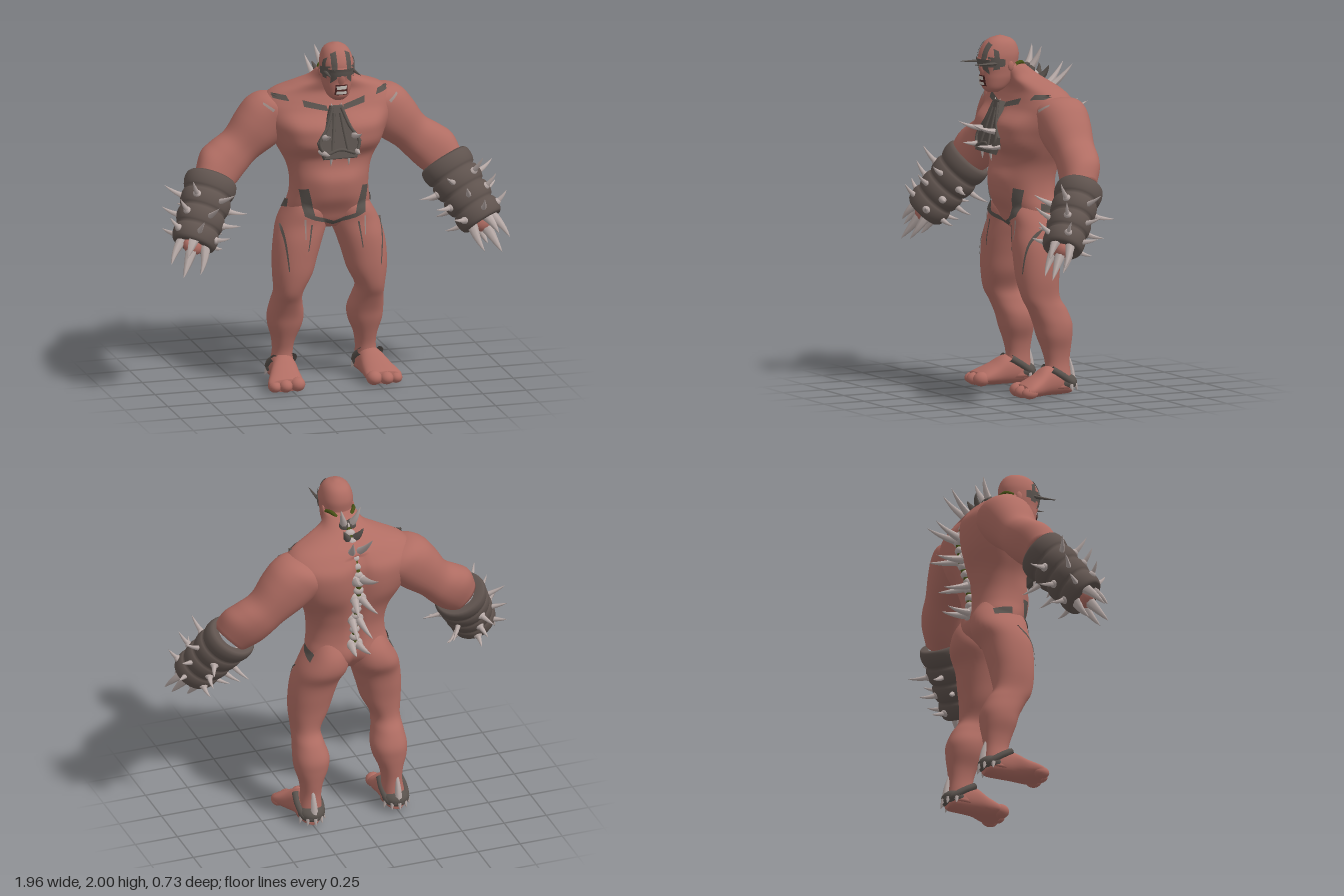
import * as THREE from 'three';

const V = (x, y, z) => new THREE.Vector3(x, y, z);
const X = V(1, 0, 0), Y = V(0, 1, 0), Z = V(0, 0, 1);

function material(name, color, side = THREE.FrontSide) {
  const m = new THREE.MeshStandardMaterial({ color, side });
  m.name = name;
  return m;
}

// Smooth skin over rows of [x, y, z, radiusU, radiusV]; rule() may reshape each point.
function loft(rows, u, v, { power = 0.9, steps = 5, n = 36, rule } = {}) {
  const centres = new THREE.CatmullRomCurve3(rows.map(r => V(r[0], r[1], r[2])), false, 'catmullrom');
  const radii = new THREE.CatmullRomCurve3(rows.map(r => V(r[3], r[4], 0)), false, 'catmullrom');
  const m = (rows.length - 1) * steps, pos = [], idx = [];
  const bend = a => Math.sign(a) * Math.abs(a) ** power;
  for (let i = 0; i <= m; i++) {
    const c = centres.getPoint(i / m), r = radii.getPoint(i / m);
    for (let j = 0; j < n; j++) {
      const a = j / n * Math.PI * 2;
      const p = c.clone().addScaledVector(u, r.x * bend(Math.cos(a))).addScaledVector(v, r.y * bend(Math.sin(a)));
      if (rule) rule(p);
      pos.push(p.x, p.y, p.z);
    }
  }
  const first = centres.getPoint(0), last = centres.getPoint(1);
  pos.push(...first.toArray(), ...last.toArray());
  const flip = u.clone().cross(v).dot(last.clone().sub(first)) < 0;
  const tri = (a, b, c) => flip ? idx.push(a, c, b) : idx.push(a, b, c);
  const end = (m + 1) * n;
  for (let j = 0; j < n; j++) {
    const k = (j + 1) % n;
    for (let i = 0; i < m; i++) {
      tri(i * n + j, i * n + k, (i + 1) * n + j);
      tri(i * n + k, (i + 1) * n + k, (i + 1) * n + j);
    }
    tri(end, k, j);
    tri(end + 1, m * n + j, m * n + k);
  }
  const g = new THREE.BufferGeometry();
  g.setAttribute('position', new THREE.Float32BufferAttribute(pos, 3));
  g.setIndex(idx);
  g.computeVertexNormals();
  return g;
}

// Curved spike: a tube whose rings shrink to a point.
function horn(base, tip, radius, sag = V(0, 0, 0), sides = 7) {
  const mid = base.clone().lerp(tip, 0.5).add(sag), segs = 7;
  const curve = new THREE.QuadraticBezierCurve3(base, mid, tip);
  const g = new THREE.TubeGeometry(curve, segs, radius, sides), p = g.attributes.position, q = V(0, 0, 0);
  for (let i = 0; i < p.count; i++) {
    const t = Math.floor(i / (sides + 1)) / segs, c = curve.getPointAt(t);
    q.fromBufferAttribute(p, i).sub(c).multiplyScalar((1 - t) ** 0.75).add(c);
    p.setXYZ(i, q.x, q.y, q.z);
  }
  g.computeVertexNormals();
  return g;
}

const ball = (x, y, z, a, b, c) => new THREE.SphereGeometry(1, 18, 12).scale(a, b, c).translate(x, y, z);
const tube = (pts, r) => new THREE.TubeGeometry(new THREE.CatmullRomCurve3(pts.map(p => V(...p))), 24, r, 8);

function mirrored(geo) {
  const g = geo.clone().scale(-1, 1, 1);
  const src = g.index ? Array.from(g.index.array) : Array.from({ length: g.attributes.position.count }, (_, i) => i);
  for (let i = 0; i < src.length; i += 3) [src[i + 1], src[i + 2]] = [src[i + 2], src[i + 1]];
  g.setIndex(src);
  return g;
}

export function createModel() {
  const root = new THREE.Group();
  root.name = 'bruteFigure';
  const skin = material('skin', 0xb06d63), leather = material('brown leather', 0x5f534e);
  const iron = material('dark iron', 0x59524d, THREE.DoubleSide), bone = material('bone', 0xb8aba8);
  const green = material('green tube', 0x465015), maw = material('dark mouth', 0x4a2422, THREE.DoubleSide);
  const teeth = material('teeth', 0xc9c2bb, THREE.DoubleSide), scar = material('pale scar', 0x9c8a85, THREE.DoubleSide);
  const add = (name, geo, mat) => {
    const mesh = new THREE.Mesh(geo, mat);
    mesh.name = name;
    root.add(mesh);
    return mesh;
  };
  const pair = (name, geo, mat) => {
    add(name + 'Right', mirrored(geo), mat);
    return add(name + 'Left', geo, mat);
  };

  // Torso: rows of [y, half width, front z, back z]
  const bump = (p, x, y, rx, ry, amp) =>
    amp * Math.exp(-(((Math.abs(p.x) - x) / rx) ** 4) - (((p.y - y) / ry) ** 4));
  const torsoRule = p => {
    if (p.z > 0) {
      p.z += bump(p, 0.15, 1.465, 0.14, 0.105, 0.058) + bump(p, 0, 1.15, 0.13, 0.1, 0.018);
    } else {
      p.z -= bump(p, 0.19, 1.5, 0.13, 0.14, 0.025);
      if (p.y < 1.68) p.z += 0.025 * Math.exp(-((p.x / 0.03) ** 2));
    }
  };
  const torso = add('torso', loft([
    [0.91, 0.08, 0.07, -0.07], [0.95, 0.18, 0.11, -0.11], [1.0, 0.23, 0.13, -0.145], [1.05, 0.235, 0.15, -0.155],
    [1.12, 0.222, 0.17, -0.145], [1.2, 0.222, 0.18, -0.145], [1.28, 0.24, 0.17, -0.16], [1.36, 0.28, 0.168, -0.18],
    [1.45, 0.325, 0.168, -0.2], [1.52, 0.36, 0.165, -0.21], [1.6, 0.38, 0.145, -0.212], [1.65, 0.365, 0.125, -0.195],
    [1.7, 0.31, 0.11, -0.16], [1.74, 0.215, 0.12, -0.11], [1.78, 0.125, 0.14, -0.055], [1.84, 0.085, 0.18, 0.02],
  ].map(([y, w, f, b]) => [0, y, (f + b) / 2, w, (f - b) / 2]), X, Z, { power: 0.84, n: 72, rule: torsoRule }), skin);

  // Legs and feet
  const leg = pair('leg', loft([
    [0.11, 1.12, -0.02, 0.08, 0.1], [0.125, 1.03, -0.015, 0.112, 0.155], [0.148, 0.94, -0.015, 0.138, 0.158],
    [0.178, 0.85, 0.014, 0.135, 0.14], [0.2, 0.75, 0.025, 0.125, 0.13], [0.215, 0.65, 0.03, 0.11, 0.12],
    [0.235, 0.55, 0.02, 0.08, 0.11], [0.235, 0.48, -0.02, 0.085, 0.112], [0.23, 0.4, -0.055, 0.1, 0.11],
    [0.232, 0.33, -0.065, 0.094, 0.1], [0.237, 0.25, -0.075, 0.066, 0.082], [0.24, 0.18, -0.08, 0.056, 0.07],
    [0.245, 0.11, -0.08, 0.062, 0.075], [0.25, 0.04, -0.085, 0.07, 0.08],
  ], X, Z), skin);
  pair('foot', loft([
    [0.25, 0.04, -0.16, 0.03, 0.03], [0.25, 0.055, -0.13, 0.06, 0.05], [0.25, 0.08, -0.08, 0.068, 0.078],
    [0.255, 0.082, 0, 0.074, 0.08], [0.27, 0.06, 0.07, 0.09, 0.06], [0.282, 0.046, 0.13, 0.102, 0.044],
    [0.285, 0.038, 0.165, 0.096, 0.034],
  ], X, Y), skin);
  [[0.222, 0.04, 0.155], [0.292, 0.036, 0.16], [0.35, 0.033, 0.145]]
    .forEach(([x, r, z]) => pair('toe', ball(x, r, z, r * 1.1, r, 0.048), skin));

  // Arms
  pair('arm', loft([
    [0.15, 1.6, -0.05, 0.07, 0.1], [0.25, 1.585, -0.058, 0.135, 0.145], [0.33, 1.545, -0.062, 0.15, 0.146],
    [0.405, 1.475, -0.06, 0.14, 0.136], [0.49, 1.39, -0.058, 0.116, 0.116], [0.565, 1.33, -0.045, 0.126, 0.115],
    [0.63, 1.275, -0.022, 0.132, 0.112], [0.69, 1.2, 0.015, 0.105, 0.1],
  ], V(0.707, 0.707, 0), Z), skin);

  // Head, nose, brow and ears
  const head = add('head', loft([
    [0, 1.685, 0.2, 0.032, 0.032], [0, 1.71, 0.192, 0.06, 0.064], [0, 1.76, 0.175, 0.078, 0.09],
    [0, 1.8, 0.166, 0.084, 0.102], [0, 1.85, 0.166, 0.09, 0.112], [0, 1.9, 0.162, 0.091, 0.114],
    [0, 1.95, 0.157, 0.077, 0.095], [0, 1.98, 0.155, 0.053, 0.065], [0, 1.998, 0.155, 0.012, 0.014],
  ], X, Z), skin);
  add('nose', horn(V(0, 1.8, 0.245), V(0, 1.875, 0.27), 0.03, V(0, 0, 0.02), 10), skin);
  const brow = add('brow', ball(0, 1.872, 0.235, 0.078, 0.02, 0.048), skin);
  pair('ear', ball(0.086, 1.835, 0.13, 0.01, 0.028, 0.018), skin);

  // Thin plates that follow the surface under them; corners lie in the plane facing the direction
  const ray = new THREE.Raycaster();
  const patch = (targets, corners, dir, nu = 6, nv = 6, lift = 0.007) => {
    const g = new THREE.PlaneGeometry(1, 1, nu, nv), p = g.attributes.position, uv = g.attributes.uv;
    let depth = 0.2;
    for (let i = 0; i < p.count; i++) {
      const s = uv.getX(i), t = uv.getY(i), [a, b, c, d] = corners;
      const at = k => (a[k] * (1 - s) + b[k] * s) * (1 - t) + (d[k] * (1 - s) + c[k] * s) * t;
      const q = dir.x ? V(0, at(1), at(0)) : V(at(0), at(1), 0);
      ray.set(q.clone().add(dir), dir.clone().negate());
      const hit = ray.intersectObjects(targets, false)[0];
      if (hit) depth = hit.point.dot(dir);
      q.addScaledVector(dir, depth + lift);
      p.setXYZ(i, q.x, q.y, q.z);
    }
    g.computeVertexNormals();
    return g;
  };
  root.updateMatrixWorld(true);

  // Face mask and mouth
  add('maskBand', patch([head, brow], [[-0.086, 1.832], [0.086, 1.832], [0.086, 1.874], [-0.086, 1.874]], Z, 16, 4), iron);
  pair('maskStrip', patch([head, brow], [[0.028, 1.82], [0.06, 1.79], [0.056, 1.955], [0.026, 1.97]], Z, 4, 14), iron);
  pair('maskSide', patch([head], [[0.26, 1.83], [0.17, 1.835], [0.17, 1.875], [0.26, 1.89]], X), iron);
  pair('maskCheek', patch([head], [[0.235, 1.815], [0.2, 1.82], [0.205, 1.92], [0.23, 1.935]], X), iron);
  pair('maskSpike', horn(V(0.078, 1.853, 0.2), V(0.086, 1.855, 0.365), 0.012, V(0, -0.006, 0)), iron);
  add('mouth', patch([head], [[-0.038, 1.722], [0.038, 1.722], [0.034, 1.782], [-0.034, 1.782]], Z), maw);
  add('upperTeeth', patch([head], [[-0.028, 1.756], [0.028, 1.756], [0.03, 1.777], [-0.03, 1.777]], Z, 6, 2, 0.012), teeth);
  add('lowerTeeth', patch([head], [[-0.032, 1.728], [0.032, 1.728], [0.028, 1.745], [-0.028, 1.745]], Z, 6, 2, 0.012), teeth);

  // Chest plate with raised ribs and spikes
  const shape = new THREE.Shape([[-0.03, 0.24], [-0.065, 0.14], [-0.122, 0.04], [-0.09, -0.05], [0.09, -0.05],
    [0.122, 0.04], [0.065, 0.14], [0.03, 0.24]].map(p => new THREE.Vector2(...p)));
  const place = g => g.rotateX(-0.3).translate(0, 1.395, 0.212);
  add('chestPlate', place(new THREE.ExtrudeGeometry(shape, { depth: 0.03, bevelSize: 0.005, bevelThickness: 0.006, bevelSegments: 2 })), iron);
  const rib = pts => place(tube(pts.map(([x, y]) => [x, y, 0.036]), 0.009));
  pair('plateRim', rib([[0.026, 0.23], [0.062, 0.13], [0.113, 0.035], [0.085, -0.04]]), iron);
  pair('plateRib', rib([[0.018, 0.2], [0.03, 0.1], [0.045, -0.01]]), iron);
  add('plateBar', rib([[-0.085, -0.03], [0, -0.005], [0.085, -0.03]]), iron);
  pair('plateUpperSpike', horn(V(0.085, 1.47, 0.2), V(0.09, 1.52, 0.368), 0.02, V(0, -0.02, 0.01)), bone);
  pair('plateLowerSpike', horn(V(0.1, 1.39, 0.21), V(0.085, 1.4, 0.345), 0.02, V(0, -0.015, 0)), bone);
  pair('plateFang', horn(V(0.05, 1.37, 0.24), V(0.052, 1.305, 0.235), 0.013), bone);
  pair('plateTopPin', horn(V(0.018, 1.6, 0.175), V(0.03, 1.65, 0.165), 0.01), bone);

  // Straps, belt and scars
  const targets = [torso, leg, root.getObjectByName('armLeft')];
  const mark = (name, corners, dir, mat, nu, nv) => pair(name, patch(targets, corners, dir, nu, nv), mat);
  mark('chestStrap', [[0.04, 1.6], [0.175, 1.63], [0.18, 1.665], [0.05, 1.63]], Z, iron, 10, 4);
  mark('hipStrap', [[0.11, 0.97], [0.175, 1.0], [0.2, 1.15], [0.155, 1.16]], Z, iron, 6, 12);
  mark('beltFront', [[0, 0.93], [0.13, 0.98], [0.13, 1.005], [0, 0.955]], Z, iron, 12, 3);
  pair('hipPlate', patch([torso, leg], [[0.02, 1.03], [-0.09, 1.005], [-0.09, 1.05], [0.02, 1.075]], X), iron);
  mark('thighScar', [[0.262, 0.69], [0.268, 0.69], [0.295, 0.94], [0.283, 0.94]], Z, iron, 2, 14);
  mark('innerThighScar', [[0.155, 0.8], [0.16, 0.8], [0.14, 0.95], [0.13, 0.95]], Z, iron, 2, 10);
  mark('groinScar', [[0.17, 0.87], [0.175, 0.87], [0.178, 0.98], [0.168, 0.98]], Z, scar, 2, 8);
  mark('shoulderStrap', [[0.25, 1.66], [0.33, 1.67], [0.335, 1.695], [0.265, 1.69]], Z, iron);
  mark('shoulderScar', [[0.34, 1.6], [0.39, 1.64], [0.385, 1.65], [0.33, 1.615]], Z, scar);

  // Spine: paired spikes, knobs and neck tubes
  const spine = [[1.8, -0.02, 1.93, -0.075], [1.68, -0.13, 1.82, -0.27], [1.54, -0.19, 1.605, -0.365],
    [1.42, -0.18, 1.395, -0.36], [1.27, -0.135, 1.215, -0.31], [1.1, -0.125, 1.105, -0.285]];
  spine.forEach(([y, z, ty, tz], i) => {
    pair('spineSpike', horn(V(0.018, y, z), V(0.058 - (i > 3 ? 0.015 : 0), ty, tz), 0.025, V(0, -0.018, -0.01)), bone);
    pair('spikeSocket', ball(0.02, y, z - 0.006, 0.03, 0.035, 0.026), i < 2 ? iron : bone);
  });
  const spineLine = new THREE.CatmullRomCurve3(spine.map(([y, z]) => V(0, y, z - 0.008)));
  spineLine.getSpacedPoints(16).forEach(p => add('vertebra', ball(p.x, p.y, p.z, 0.03, 0.024, 0.022), bone));
  add('spineTube', new THREE.TubeGeometry(spineLine, 40, 0.016, 8), green);
  pair('neckTube', tube([[0.08, 1.84, 0.1], [0.065, 1.85, 0.055], [0.035, 1.82, 0.02], [0.015, 1.78, -0.04]], 0.011), green);
  pair('neckFin', horn(V(0.02, 1.74, -0.08), V(0.06, 1.82, -0.12), 0.026, V(0, 0, -0.02)), iron);

  // Ankle cuffs with heel cups and spikes
  pair('ankleCuff', tube([[0.306, 0.15, -0.015], [0.314, 0.11, -0.08], [0.298, 0.065, -0.145], [0.25, 0.055, -0.17],
    [0.202, 0.065, -0.145], [0.186, 0.11, -0.08], [0.194, 0.15, -0.015]], 0.02), iron);
  pair('heelCup', ball(0.25, 0.07, -0.115, 0.075, 0.05, 0.075), iron);
  pair('heelSpike', horn(V(0.25, 0.07, -0.165), V(0.25, 0.255, -0.125), 0.024, V(0, 0, -0.02)), bone);
  for (let i = -2; i <= 2; i++) {
    const a = i * 0.55, x = Math.sin(a), z = -Math.cos(a);
    pair('cuffTooth', horn(V(0.25 + x * 0.07, 0.06, -0.085 + z * 0.095), V(0.25 + x * 0.085, 0.02, -0.085 + z * 0.11), 0.014), bone);
  }

  // Gauntlets: built along +y, then swung over the forearm and flattened a little across it
  const axis = V(0.172, -0.32, 0.205), len = axis.length();
  const along = axis.clone().normalize(), across = Z.clone().cross(along).normalize();
  const swing = new THREE.Matrix4().makeBasis(across, along, across.clone().cross(along).multiplyScalar(0.87))
    .setPosition(0.668, 1.222, -0.005);
  const radiusAt = t => 0.145 - 0.025 * t;
  const profile = [new THREE.Vector2(0.09, 0.01)];
  for (let i = 0; i <= 40; i++) {
    const t = i / 40;
    profile.push(new THREE.Vector2(radiusAt(t) - 0.01 + 0.02 * Math.abs(Math.sin(t * Math.PI * 4)) ** 0.5, t * len));
  }
  profile.push(new THREE.Vector2(0.09, len - 0.01), new THREE.Vector2(0, len - 0.015));
  pair('gauntlet', new THREE.LatheGeometry(profile, 36).applyMatrix4(swing), leather);
  for (let ring = 1; ring < 4; ring++) {
    const t = (ring + 0.5) / 4, r = radiusAt(t), out = r + 0.128 - 0.014 * ring;
    for (let k = 0; k < 6; k++) {
      const a = (k + ring * 0.25) / 6 * Math.PI * 2, c = Math.cos(a), s = Math.sin(a);
      pair('gauntletSpike', horn(V(c * (r - 0.02), t * len, s * (r - 0.02)),
        V(c * out, t * len - 0.025, s * (out + 0.02)), 0.019, V(0, 0.014, 0)).applyMatrix4(swing), bone);
      if (k % 2) pair('spikePlate', ball(c * r, t * len, s * r, 0.026, 0.022, 0.026).applyMatrix4(swing), bone);
    }
  }
  pair('fist', ball(0, len, 0, 0.06, 0.05, 0.05).applyMatrix4(swing), skin);
  for (let k = 0; k < 4; k++) {
    const a = k / 4 * Math.PI * 2 + 0.4, c = Math.cos(a), s = Math.sin(a), reach = k % 2 ? 0.11 : 0.15;
    pair('claw', horn(V(c * 0.06, len - 0.04, s * 0.06), V(c * 0.09, len + reach, s * 0.07), 0.036, V(c * 0.02, 0, s * 0.02)).applyMatrix4(swing), bone);
  }
  pair('longClaw', horn(V(0, len, 0), V(0, len + 0.2, 0), 0.04).applyMatrix4(swing), bone);
  return root;
}
